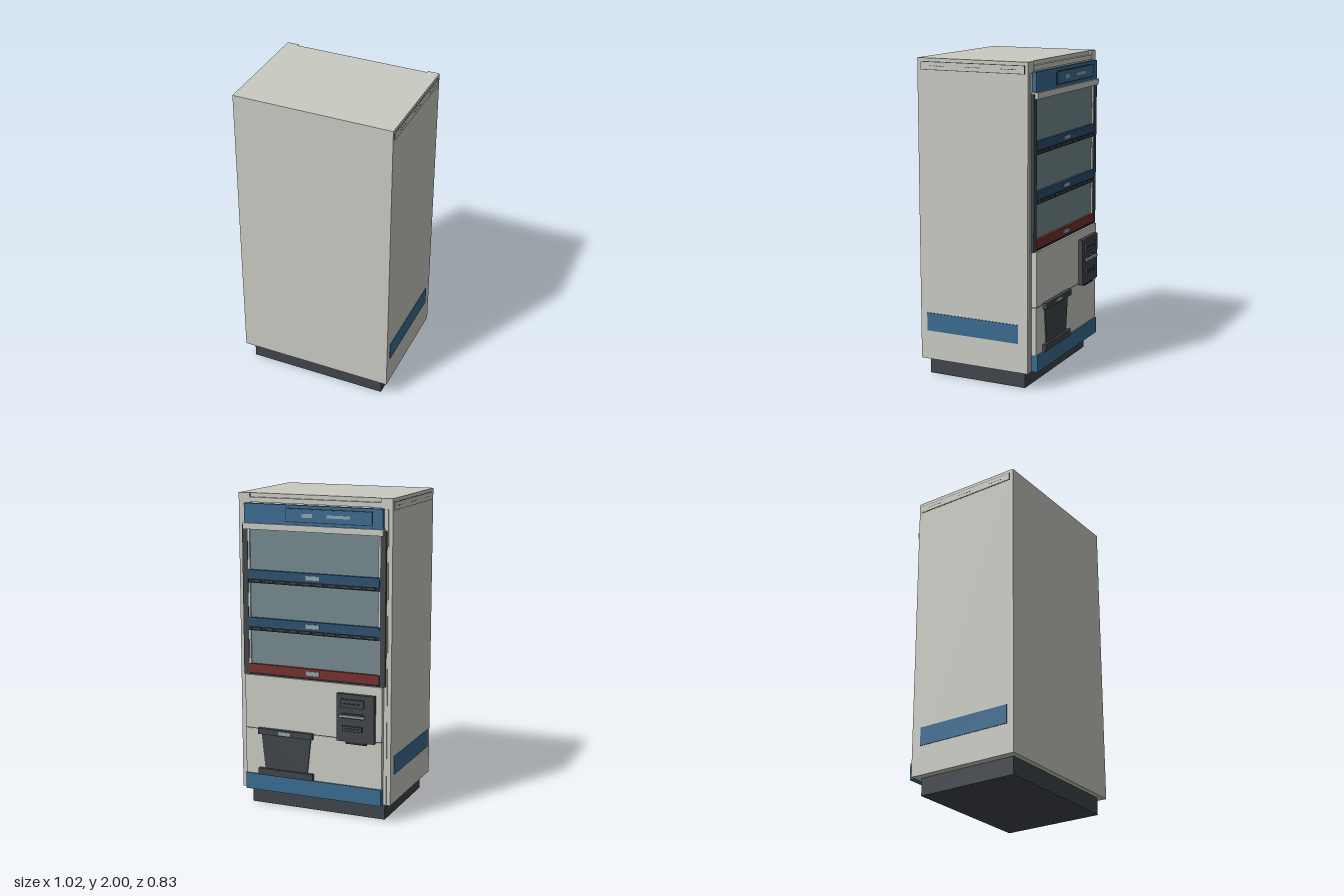
import * as THREE from 'three';

const material = (name, color) => {
  const m = new THREE.MeshStandardMaterial({ color });
  m.name = name;
  return m;
};

export function createModel() {
  const root = new THREE.Group();
  root.name = 'vendingMachine';
  const shell = material('warm grey shell', 0xc9cac2);
  const blue = material('blue trim', 0x3a6b90);
  const deepBlue = material('deep blue rail', 0x2b4f70);
  const dark = material('charcoal', 0x40454b);
  const black = material('near black', 0x25282c);
  const glass = material('grey glass', 0x74888e);
  const red = material('dark red', 0x74302b);
  const label = material('pale label', 0x8fa6b0);

  // box given by its bounds
  const box = (name, mat, x0, x1, y0, y1, z0, z1, parent = root) => {
    const mesh = new THREE.Mesh(new THREE.BoxGeometry(x1 - x0, y1 - y0, Math.abs(z1 - z0)), mat);
    mesh.position.set((x0 + x1) / 2, (y0 + y1) / 2, (z0 + z1) / 2);
    mesh.name = name;
    parent.add(mesh);
    return mesh;
  };

  // cabinet and plinth
  box('plinth', dark, -0.455, 0.455, 0, 0.11, -0.285, 0.38);
  box('cabinet', shell, -0.505, 0.505, 0.11, 2, -0.31, 0.415);
  box('cabinetFace', shell, -0.505, 0.505, 0.11, 1.935, -0.325, -0.31);
  box('topTrim', shell, -0.43, 0.43, 1.945, 1.975, -0.33, -0.31);
  for (const s of [-1, 1]) {
    box('topCorner', shell, s * 0.4675 - 0.0375, s * 0.4675 + 0.0375, 1.935, 2, -0.325, -0.31);
    // side stripe, vent cover and its slots
    const side = new THREE.Group();
    side.name = 'sideDetails';
    const plate = (name, mat, w, y0, y1, z0, z1) =>
      box(name, mat, s * 0.505 - w, s * 0.505 + w, y0, y1, z0, z1, side);
    plate('sideStripe', blue, 0.004, 0.295, 0.412, -0.262, 0.37);
    plate('ventBorder', dark, 0.001, 1.928, 1.98, -0.305, 0.393);
    plate('ventCover', shell, 0.003, 1.932, 1.976, -0.301, 0.389);
    for (const z of [-0.2, 0.04, 0.28])
      for (let i = -2; i <= 2; i++)
        plate('ventSlot', dark, 0.0035, 1.952, 1.956, z + i * 0.022 - 0.007, z + i * 0.022 + 0.007);
    root.add(side);
  }

  // door panels
  box('doorBacking', shell, -0.48, 0.48, 0.115, 1.935, -0.331, -0.325);
  box('header', blue, -0.455, 0.455, 1.82, 1.94, -0.357, -0.33);
  box('headerPlateEdge', black, -0.393, 0.173, 1.837, 1.923, -0.359, -0.357);
  box('headerPlate', blue, -0.388, 0.168, 1.842, 1.918, -0.364, -0.357);
  box('headerPlaque', label, -0.005, 0.065, 1.868, 1.892, -0.367, -0.363);
  box('headerPlaque', label, -0.25, -0.1, 1.871, 1.889, -0.367, -0.363);
  box('headerLedge', shell, -0.46, 0.46, 1.782, 1.82, -0.368, -0.33);
  box('upperPanel', shell, -0.46, 0.46, 0.523, 0.865, -0.362, -0.33);
  box('panelSeam', dark, -0.458, 0.458, 0.517, 0.523, -0.359, -0.33);
  box('lowerPanel', shell, -0.46, 0.46, 0.22, 0.517, -0.362, -0.33);
  box('kickPanel', blue, -0.46, 0.46, 0.115, 0.22, -0.372, -0.325);

  // display window
  box('window', glass, -0.427, 0.427, 0.865, 1.782, -0.336, -0.33);
  for (const s of [-1, 1]) {
    box('windowPost', dark, s * 0.455 - 0.018, s * 0.455 + 0.018, 0.865, 1.81, -0.35, -0.325);
    box('windowLip', shell, s * 0.431 - 0.006, s * 0.431 + 0.006, 0.865, 1.782, -0.346, -0.33);
  }

  // selection rails with buttons
  const rails = [[1.5, deepBlue], [1.2, deepBlue], [0.905, red]];
  for (const [y, mat] of rails) {
    const rail = new THREE.Group();
    rail.name = 'selectionRail';
    const isRed = mat === red;
    box('railFace', mat, -0.436, 0.436, y - 0.025, y + 0.03, -0.354, -0.33, rail);
    box('railLabel', label, -0.045, 0.045, y - 0.012, y + 0.014, -0.358, -0.354, rail);
    box('railBase', black, -0.436, 0.436, y - (isRed ? 0.04 : 0.052), y - 0.025, -0.349, -0.33, rail);
    if (!isRed)
      for (let i = 0; i < 10; i++) {
        const x = -0.378 + i * 0.084;
        box('selectButton', dark, x - 0.028, x + 0.028, y - 0.046, y - 0.03, -0.358, -0.349, rail);
      }
    root.add(rail);
  }

  // coin panel
  const coin = new THREE.Group();
  coin.name = 'coinPanel';
  box('coinPlate', dark, -0.42, -0.175, 0.51, 0.81, -0.39, -0.36, coin);
  box('coinTray', black, -0.365, -0.23, 0.495, 0.525, -0.385, -0.36, coin);
  box('noteSlot', dark, -0.355, -0.205, 0.728, 0.78, -0.404, -0.39, coin);
  box('noteGap', black, -0.335, -0.225, 0.75, 0.757, -0.407, -0.403, coin);
  box('coinLever', label, -0.365, -0.197, 0.668, 0.682, -0.415, -0.4, coin);
  box('leverMount', dark, -0.35, -0.21, 0.66, 0.69, -0.402, -0.39, coin);
  box('returnSlot', dark, -0.345, -0.215, 0.58, 0.612, -0.405, -0.39, coin);
  box('returnGap', black, -0.325, -0.235, 0.592, 0.6, -0.408, -0.404, coin);
  root.add(coin);

  // delivery chute with tapered flap
  const chute = new THREE.Group();
  chute.name = 'deliveryChute';
  box('chuteAwning', dark, -0.008, 0.365, 0.49, 0.528, -0.388, -0.36, chute);
  box('awningLabel', label, 0.135, 0.22, 0.498, 0.52, -0.392, -0.387, chute);
  box('chuteLip', dark, -0.008, 0.365, 0.222, 0.265, -0.385, -0.36, chute);
  const outline = new THREE.Shape([[-0.145, 0.262], [0.145, 0.262], [0.17, 0.492], [-0.17, 0.492]]
    .map(([x, y]) => new THREE.Vector2(x, y)));
  const flap = new THREE.Mesh(new THREE.ExtrudeGeometry(outline, { depth: 0.01, bevelEnabled: false }), dark);
  flap.position.set(0.178, 0, -0.37);
  flap.name = 'chuteFlap';
  chute.add(flap);
  root.add(chute);

  return root;
}
